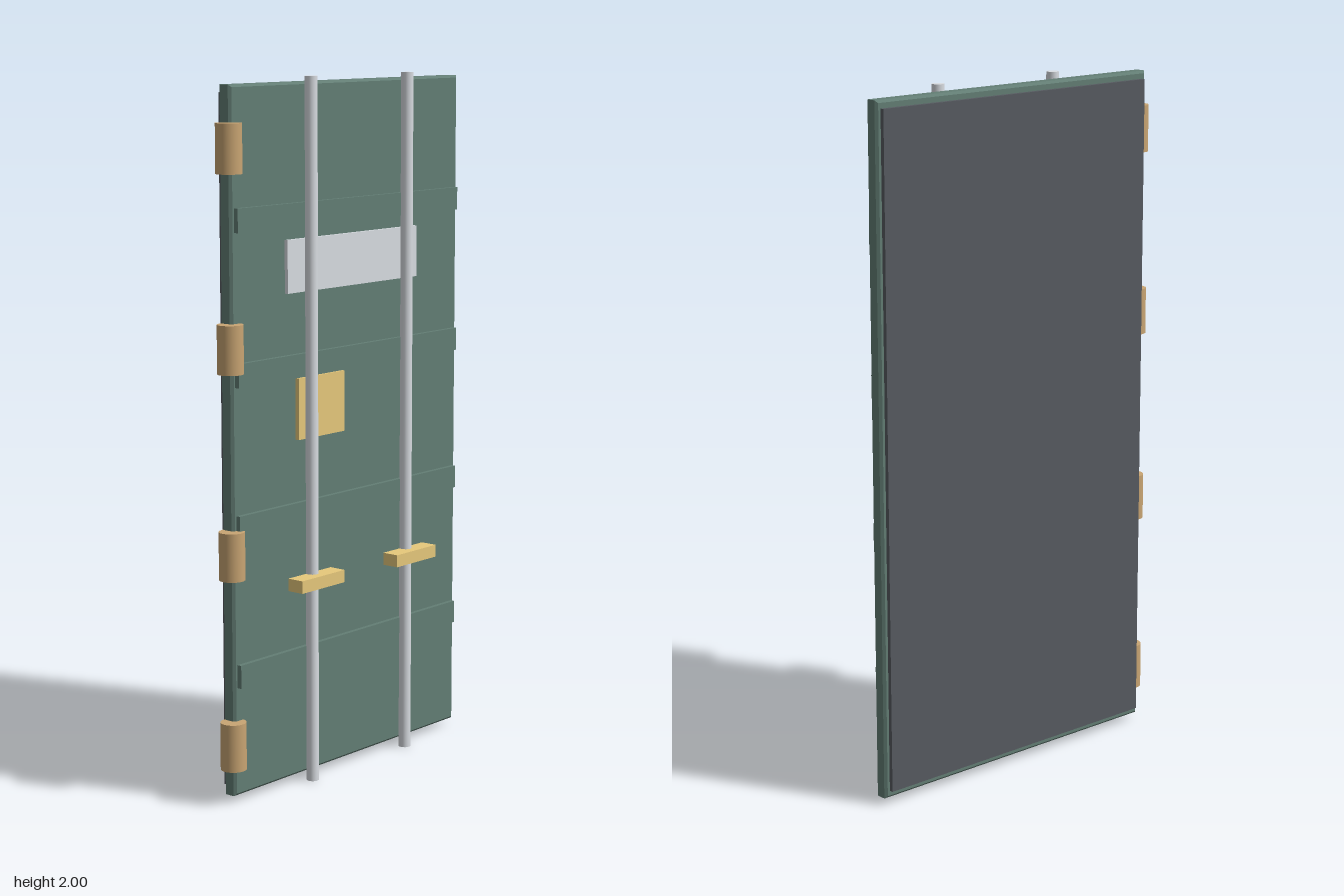
import * as THREE from 'three';

const mat = (name, color) => {
  const m = new THREE.MeshStandardMaterial({ color });
  m.name = name;
  return m;
};

export function createModel() {
  const door = new THREE.Group();
  door.name = 'door';
  const green = mat('green paint', 0x637e75);
  const steel = mat('steel', 0xd9dde2);
  const brass = mat('brass', 0xe8ca7c);
  const bronze = mat('hinge bronze', 0xc9a573);
  const dark = mat('dark lining', 0x575b61);

  const add = (name, geometry, material, x = 0, y = 0, z = 0) => {
    const mesh = new THREE.Mesh(geometry, material);
    mesh.name = name;
    mesh.position.set(x, y, z);
    door.add(mesh);
    return mesh;
  };
  // Box given by its limits on each axis
  const box = (name, material, [x0, x1], [y0, y1], [z0, z1]) =>
    add(name, new THREE.BoxGeometry(x1 - x0, y1 - y0, z1 - z0), material,
      (x0 + x1) / 2, (y0 + y1) / 2, (z0 + z1) / 2);

  // Main slab with chamfered edges, extruded along x
  const bevel = 0.007, w = 0.988 - 2 * bevel, h = 1.964 - 2 * bevel, depth = 0.043;
  const outline = new THREE.Shape([
    new THREE.Vector2(-w / 2, -h / 2), new THREE.Vector2(w / 2, -h / 2),
    new THREE.Vector2(w / 2, h / 2), new THREE.Vector2(-w / 2, h / 2),
  ]);
  const slab = new THREE.ExtrudeGeometry(outline, {
    depth: depth - 2 * bevel, bevelEnabled: true,
    bevelSize: bevel, bevelThickness: bevel, bevelSegments: 1,
  });
  slab.translate(0, 0, bevel - depth / 2);
  slab.rotateY(Math.PI / 2);
  add('slab', slab, green, -0.0275, 1.002, -0.0195);

  // Lining on the back
  box('backLining', dark, [-0.061, -0.04], [0.042, 1.962], [-0.499, 0.459]);

  // Cross ribs
  for (let i = 0; i < 4; i++) {
    const y = 0.33 + i * 0.42;
    box('rib', green, [-0.02, 0.008], [y, y + 0.066], [-0.498, 0.462]);
  }

  // Plates on the outer face
  box('signPlate', steel, [-0.02, 0.005], [1.408, 1.556], [-0.309, 0.258]);
  box('lockPlate', brass, [-0.02, 0.007], [0.994, 1.168], [0.02, 0.215]);

  // Locking rods with their handles
  for (const z of [0.174, -0.246]) {
    add('lockingRod', new THREE.CylinderGeometry(0.0178, 0.0178, 2, 16), steel, 0.0185, 1, z);
    box('rodHandle', brass, [0.009, 0.061], [0.571, 0.607], [z - 0.091, z + 0.091]);
  }

  // Hinge barrels along one edge
  for (const y of [0.168, 0.707, 1.277, 1.816]) {
    add('hinge', new THREE.CylinderGeometry(0.0365, 0.0365, 0.135, 20), bronze, -0.01, y, 0.476);
  }
  return door;
}
